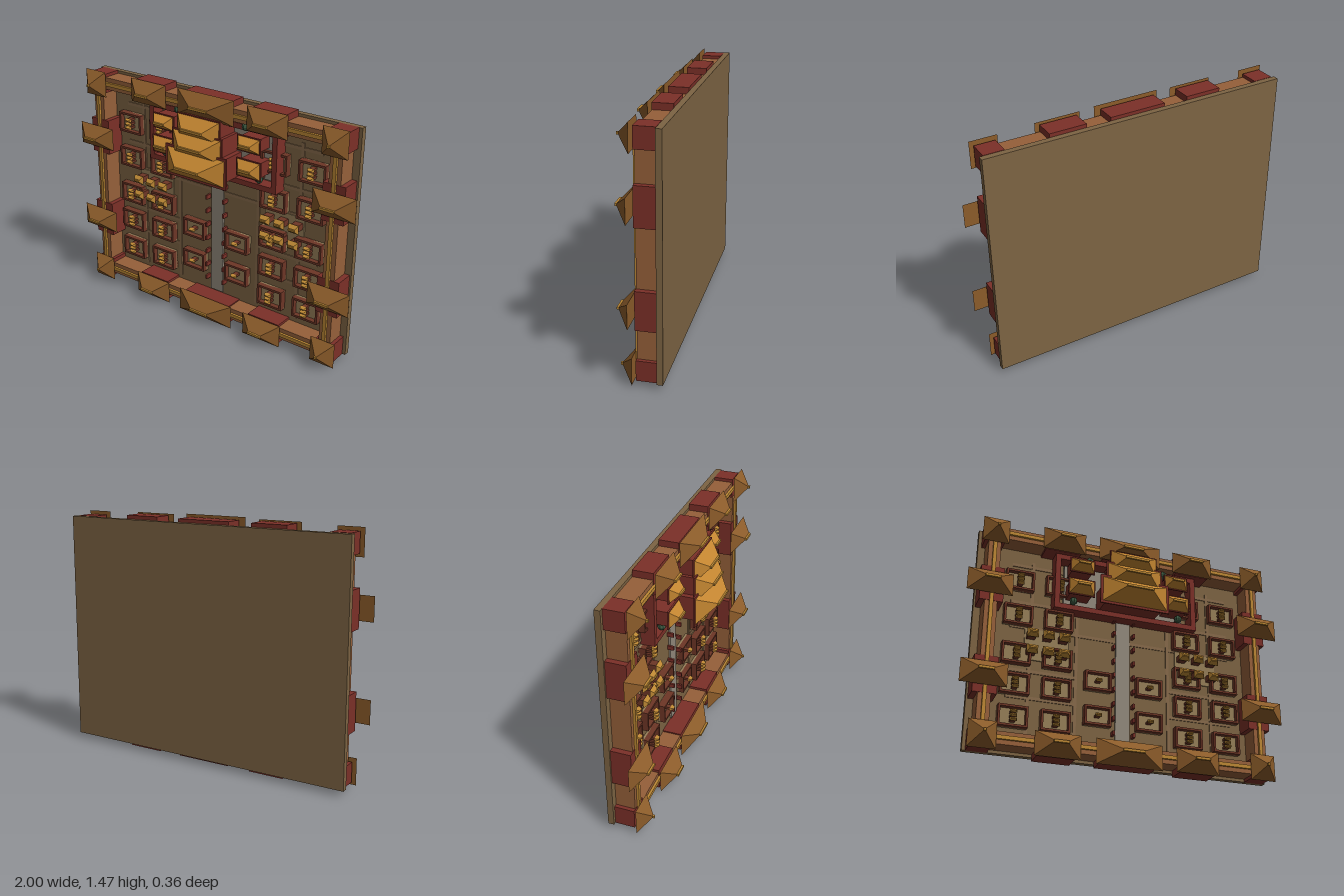
import * as THREE from 'three';

const material = (color) => new THREE.MeshStandardMaterial({ color, flatShading: true });
const MAT = {
  ground: material(0x7d6443), road: material(0x86694a), paving: material(0x92897c),
  wall: material(0x96603a), red: material(0x7c3028), brick: material(0x6e3626),
  court: material(0x957e58), gateRoof: material(0x8c5c2a), gold: material(0xbd8834),
  hallRoof: material(0xc48631), leaf: material(0x3c5a42),
};
const GROUND = -0.145; // z of the ground surface; buildings rise towards +z

export function createModel() {
  const model = new THREE.Group();
  model.name = 'walledCity';

  const group = (name, parent = model) => {
    const g = new THREE.Group();
    g.name = name;
    parent.add(g);
    return g;
  };

  // Box centred at x, y and spanning z0..z1
  const box = (parent, name, mat, x, y, w, h, z0, z1) => {
    const mesh = new THREE.Mesh(new THREE.BoxGeometry(w, h, z1 - z0), mat);
    mesh.position.set(x, y, (z0 + z1) / 2);
    mesh.name = name;
    parent.add(mesh);
    return mesh;
  };

  // Hip roof: a box whose outer face shrinks to a ridge, topped by a ridge beam
  const roof = (parent, mat, x, y, w, h, z0, z1, ridge, beam = 0.014) => {
    const mesh = box(parent, 'hipRoof', mat, x, y, w, h, z0, z1);
    const p = mesh.geometry.attributes.position;
    for (let i = 0; i < p.count; i++) {
      if (p.getZ(i) > 0) p.setXY(i, Math.sign(p.getX(i)) * ridge / 2, Math.sign(p.getY(i)) * beam / 2);
    }
    mesh.geometry.computeVertexNormals();
    return mesh;
  };

  // Rectangular ring of walls
  const enclosure = (parent, name, mat, x, y, w, h, t, z1) => {
    for (const s of [-1, 1]) {
      box(parent, name, mat, x, y + s * (h - t) / 2, w, t, GROUND, z1);
      box(parent, name, mat, x + s * (w - t) / 2, y, t, h - 2 * t, GROUND, z1);
    }
  };

  // Ground slab
  box(model, 'groundSlab', MAT.ground, 0, 0.74, 1.86, 1.4, -0.18, GROUND);

  // Streets and the paved central avenue
  const streets = group('streets');
  for (const s of [-1, 1]) {
    box(streets, 'street', MAT.road, s * 0.58, 0.72, 0.02, 1.12, GROUND, -0.139);
    box(streets, 'street', MAT.road, s * 0.295, 0.56, 0.02, 0.8, GROUND, -0.139);
  }
  for (const y of [0.39, 0.555, 0.835, 0.995, 1.245]) {
    for (const s of [-1, 1]) box(streets, 'street', MAT.road, s * 0.5, y, 0.42, 0.02, GROUND, -0.14);
  }
  box(streets, 'crossStreet', MAT.road, 0, 0.835, 0.6, 0.02, GROUND, -0.141);
  box(streets, 'centralAvenue', MAT.paving, 0, 0.56, 0.09, 0.82, GROUND, -0.134);
  for (let i = 0; i < 9; i++) {
    for (const s of [-1, 1]) {
      box(streets, 'avenuePost', MAT.red, s * 0.063, 0.235 + i * 0.092, 0.013, 0.026, GROUND, -0.105);
    }
  }

  // City walls with a gold rail along the top
  const walls = group('cityWalls');
  for (const s of [-1, 1]) {
    const y = 0.74 + s * 0.645;
    box(walls, 'cityWall', MAT.wall, 0, y, 1.7, 0.075, GROUND, -0.03);
    box(walls, 'wallRail', MAT.gold, 0, y, 1.7, 0.022, -0.03, -0.015);
    box(walls, 'cityWall', MAT.wall, s * 0.85, 0.74, 0.075, 1.29, GROUND, -0.03);
    box(walls, 'wallRail', MAT.gold, s * 0.85, 0.74, 0.022, 1.29, -0.03, -0.015);
  }

  // Gate towers and corner towers
  const tower = (name, x, y, bw, bh, rx, ry, rw, rh, ridge) => {
    const g = group(name);
    box(g, 'towerBody', MAT.red, x, y, bw, bh, GROUND, -0.027);
    roof(g, MAT.gateRoof, rx, ry, rw, rh, -0.01, 0.058, ridge);
    box(g, 'ridgeBeam', MAT.gold, rx, ry, ridge, 0.014, 0.048, 0.07);
  };
  for (const s of [-1, 1]) {
    const y = 0.74 + s * 0.657;
    tower('mainGate', 0, 0.74 + s * 0.66, 0.34, 0.12, 0, 0.74 + s * 0.66, 0.402, 0.152, 0.13);
    for (const m of [-1, 1]) {
      tower('sideGate', m * 0.427, y, 0.22, 0.13, m * 0.424, y, 0.268, 0.144, 0.09);
      tower('cornerTower', m * 0.85, 0.74 + s * 0.642, 0.12, 0.12, m * 0.85, 0.74 + s * 0.642, 0.16, 0.16, 0.014);
      tower('flankGate', m * 0.85, 0.742 + s * 0.287, 0.14, 0.225, m * 0.864, 0.742 + s * 0.287, 0.27, 0.143, 0.09);
    }
  }

  // Small house with a gold roof
  const house = (parent, x, y, w, h, z1) => {
    box(parent, 'houseBody', MAT.brick, x, y, w * 0.72, h * 0.7, GROUND, z1 - 0.022);
    roof(parent, MAT.gold, x, y, w, h, z1 - 0.022, z1, w * 0.6, h * 0.3);
  };

  // Walled residential courtyards
  const courtyard = (x, y, w, h, houses) => {
    const g = group('courtyard');
    box(g, 'courtyardFloor', MAT.court, x, y, w, h, GROUND, -0.132);
    enclosure(g, 'courtyardWall', MAT.brick, x, y, w, h, 0.013, -0.1);
    for (let i = 0; i < houses; i++) {
      house(g, x, y + (i - (houses - 1) / 2) * 0.025, 0.042, 0.021, -0.07);
    }
  };
  for (const s of [-1, 1]) {
    for (const y of [0.26, 0.46, 0.65, 0.9, 1.13]) {
      for (const x of [0.415, 0.665]) courtyard(s * x, y, 0.175, 0.127, 3);
    }
    for (const y of [0.328, 0.547]) courtyard(s * 0.162, y, 0.165, 0.118, 1);

    // Market quarter
    const market = group('market');
    box(market, 'marketFloor', MAT.court, s * 0.48, 0.73, 0.27, 0.2, GROUND, -0.137);
    for (const x of [0.385, 0.482, 0.58]) {
      for (const y of [0.675, 0.78]) {
        house(market, s * x, y, 0.07, 0.055, -0.055);
        box(market, 'ridgeBeam', MAT.gold, s * x, y, 0.04, 0.01, -0.058, -0.048);
      }
    }
  }

  // Palace compound
  const palace = group('palace');
  enclosure(palace, 'palaceWall', MAT.red, 0, 1.148, 0.925, 0.37, 0.033, -0.06);
  box(palace, 'palaceTerrace', MAT.paving, 0, 1.15, 0.78, 0.28, GROUND, -0.12);
  const hall = (name, x, y, w, h, eave, top, ridge, slab) => {
    const g = group(name, palace);
    box(g, 'hallBody', MAT.red, x, y, w * 0.88, h * 0.9, GROUND, eave - 0.01);
    box(g, 'eaveSlab', MAT.red, x, y, w + slab, h + slab, eave - 0.01, eave);
    roof(g, MAT.hallRoof, x, y, w, h, eave, top - 0.01, ridge);
    box(g, 'ridgeBeam', MAT.gold, x, y, ridge, 0.014, top - 0.018, top);
  };
  hall('frontHall', 0, 1.066, 0.41, 0.16, 0.082, 0.18, 0.17, 0.03);
  hall('middleHall', 0, 1.185, 0.34, 0.14, 0.07, 0.15, 0.16, 0.02);
  hall('rearHall', 0, 1.287, 0.295, 0.13, 0.055, 0.13, 0.15, 0.01);
  for (const s of [-1, 1]) {
    hall('upperPavilion', s * 0.308, 1.245, 0.145, 0.083, -0.005, 0.048, 0.075, 0.012);
    hall('lowerPavilion', s * 0.31, 1.098, 0.155, 0.098, -0.005, 0.048, 0.08, 0.012);

    // Garden trees
    for (const [x, y] of [[0.245, 1.32], [0.343, 1.026]]) {
      const tree = group('tree', palace);
      const trunk = new THREE.Mesh(new THREE.CylinderGeometry(0.007, 0.009, 0.06, 6), MAT.brick);
      trunk.rotation.x = Math.PI / 2;
      trunk.position.set(s * x, y, GROUND + 0.03);
      trunk.name = 'trunk';
      const crown = new THREE.Mesh(new THREE.SphereGeometry(0.024, 8, 6), MAT.leaf);
      crown.position.set(s * x, y, -0.068);
      crown.name = 'treeCrown';
      tree.add(trunk, crown);
    }
  }

  return model;
}
